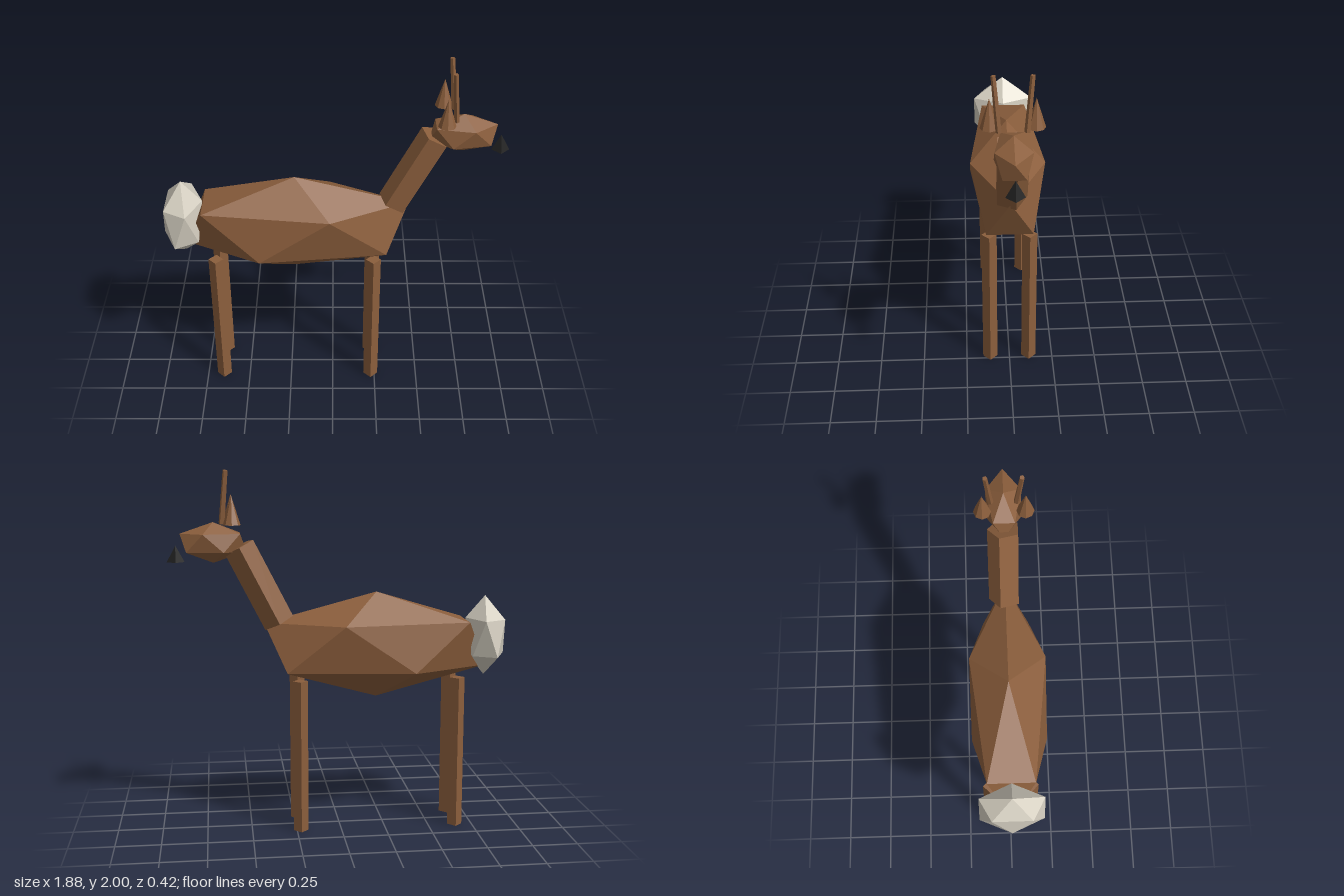
import * as THREE from 'three';
import { ConvexGeometry } from 'three/addons/geometries/ConvexGeometry.js';

const flat = (name, color) => {
  const m = new THREE.MeshStandardMaterial({ color, flatShading: true });
  m.name = name;
  return m;
};

// Twelve-point faceted ellipsoid standing on a point; two staggered rings of five
function gem(rx, ry, rz) {
  const pts = [new THREE.Vector3(0, ry, 0), new THREE.Vector3(0, -ry, 0)];
  const ring = 2 / Math.sqrt(5), h = 1 / Math.sqrt(5);
  for (let i = 0; i < 5; i++) {
    const a = (i * Math.PI * 2) / 5;
    const c = Math.cos(a) * ring, s = Math.sin(a) * ring;
    pts.push(new THREE.Vector3(c * rx, h * ry, s * rz));
    pts.push(new THREE.Vector3(-c * rx, -h * ry, s * rz));
  }
  return new ConvexGeometry(pts);
}

export function createModel() {
  const group = new THREE.Group();
  group.name = 'deer';
  const fur = flat('brown fur', 0x8b5e3c);
  const white = flat('pale tail fur', 0xd4cec0);
  const black = flat('black nose', 0x222222);

  const add = (name, geometry, material, x, y, z) => {
    const mesh = new THREE.Mesh(geometry, material);
    mesh.name = name;
    mesh.position.set(x, y, z);
    group.add(mesh);
    return mesh;
  };

  // Faceted masses
  add('body', gem(0.7, 0.297, 0.245), fur, -0.21, 1.037, 0);
  add('head', gem(0.2, 0.11, 0.11), fur, 0.685, 1.615, 0);
  add('tail', gem(0.124, 0.227, 0.205), white, -0.83, 1.077, 0);

  // Five-sided neck leaning forward, one edge towards -z
  const neckGeo = new THREE.CylinderGeometry(0.09, 0.09, 0.47, 5).rotateY(Math.PI);
  add('neck', neckGeo, fur, 0.44, 1.382, 0).rotation.z = -0.47;

  // Four-sided pyramid nose
  add('nose', new THREE.ConeGeometry(0.048, 0.09, 4), black, 0.888, 1.556, 0);

  // Mirrored legs, ears and antlers
  const legGeo = new THREE.CylinderGeometry(0.042, 0.042, 0.86, 4);
  const earGeo = new THREE.ConeGeometry(0.047, 0.155, 8);
  const antlerGeo = new THREE.CylinderGeometry(0.013, 0.016, 0.285, 5);
  const up = new THREE.Vector3(0, 1, 0);
  for (const s of [1, -1]) {
    const side = s > 0 ? 'Right' : 'Left';
    add('frontLeg' + side, legGeo, fur, 0.227, 0.43, s * 0.112);
    add('backLeg' + side, legGeo, fur, -0.653, 0.43, s * 0.112);
    add('ear' + side, earGeo, fur, 0.585, 1.793, s * 0.112);
    const antler = add('antler' + side, antlerGeo, fur, 0.625, 1.859, s * 0.08);
    antler.quaternion.setFromUnitVectors(up, new THREE.Vector3(-0.024, 0.28, s * 0.024).normalize());
  }
  return group;
}
